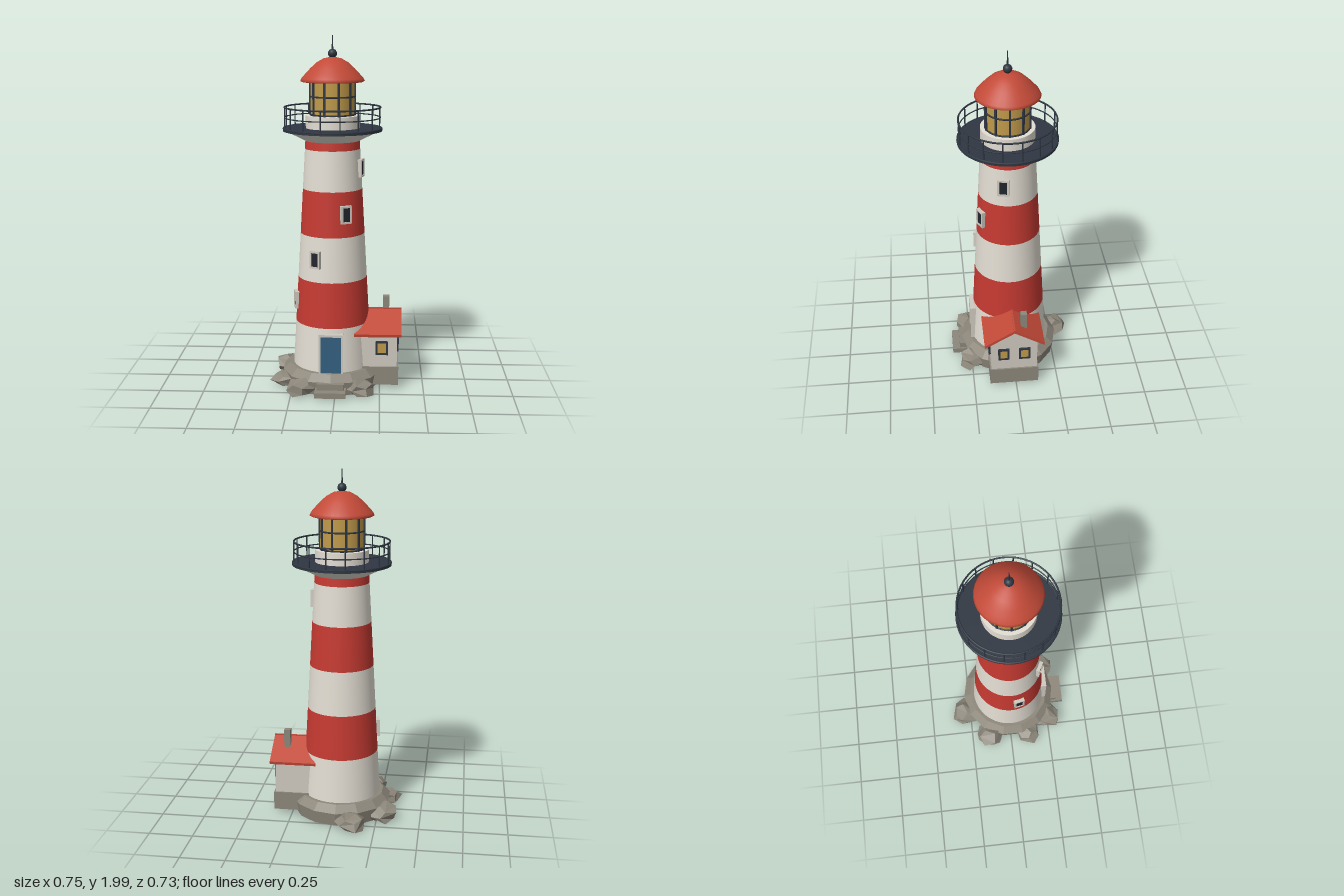
import * as THREE from 'three';

const mat = (color, extra = {}) => new THREE.MeshStandardMaterial({ color, ...extra });
const M = {
  white: mat(0xe3ded3), red: mat(0xc63a32), roof: mat(0xc24a38, { side: THREE.DoubleSide }),
  dark: mat(0x2f3742), stone: mat(0x8d877b, { flatShading: true }), plinth: mat(0x8d877b),
  wall: mat(0xcfcac0), amber: mat(0xc09a4a), blue: mat(0x346080), pane: mat(0x20262e),
};

function add(parent, name, geometry, material, x = 0, y = 0, z = 0) {
  const mesh = new THREE.Mesh(geometry, material);
  mesh.name = name;
  mesh.position.set(x, y, z);
  parent.add(mesh);
  return mesh;
}
// box given by its min and max corners
function box(parent, name, material, x0, x1, y0, y1, z0, z1) {
  return add(parent, name, new THREE.BoxGeometry(x1 - x0, y1 - y0, z1 - z0), material,
    (x0 + x1) / 2, (y0 + y1) / 2, (z0 + z1) / 2);
}
// truncated cone from y0 to y1
function cone(parent, name, material, r0, r1, y0, y1, sides = 48, open = false) {
  return add(parent, name, new THREE.CylinderGeometry(r1, r0, y1 - y0, sides, 1, open), material, 0, (y0 + y1) / 2, 0);
}
function ring(parent, name, r, tube, y, material = M.dark) {
  const mesh = add(parent, name, new THREE.TorusGeometry(r, tube, 6, 48), material, 0, y, 0);
  mesh.rotation.x = Math.PI / 2;
}
function group(parent, name) {
  const g = new THREE.Group();
  g.name = name;
  parent.add(g);
  return g;
}

const towerRadius = (y) => 0.226 - (y - 0.12) * 0.0562;

// framed opening facing +z, centred on its origin
function framedWindow(parent, name, w, h, frame, pane, depth = 0.03) {
  const g = group(parent, name);
  const t = 0.011;
  for (const s of [-1, 1]) {
    add(g, 'frameSide', new THREE.BoxGeometry(t, h, depth), frame, s * (w - t) / 2, 0, 0);
    add(g, 'frameBar', new THREE.BoxGeometry(w - 2 * t, t, depth), frame, 0, s * (h - t) / 2, 0);
  }
  add(g, 'pane', new THREE.BoxGeometry(w - 2 * t, h - 2 * t, depth * 0.7), pane);
  return g;
}

function buildTower(root) {
  const g = group(root, 'tower');
  const levels = [0.11, 0.38, 0.64, 0.895, 1.15, 1.375, 1.425];
  for (let i = 0; i < levels.length - 1; i++) {
    cone(g, 'towerBand', i % 2 ? M.red : M.white, towerRadius(levels[i]), towerRadius(levels[i + 1]),
      levels[i], levels[i + 1], 48, true);
  }
  // windows spiralling up the tower
  [[-78, 0.505], [-27, 0.77], [27, 1.025], [76, 1.27]].forEach(([deg, y]) => {
    const a = deg * Math.PI / 180, r = towerRadius(y) + 0.002;
    const w = framedWindow(g, 'towerWindow', 0.064, 0.1, M.wall, M.pane);
    w.position.set(Math.sin(a) * r, y, Math.cos(a) * r);
    w.rotation.y = a;
  });
  // door with surround
  const d = group(g, 'door');
  box(d, 'doorLeaf', M.blue, -0.058, 0.058, 0.12, 0.338, 0.19, 0.228);
  for (const s of [-1, 1]) add(d, 'doorJamb', new THREE.BoxGeometry(0.012, 0.23, 0.045), M.wall, s * 0.063, 0.235, 0.213);
  box(d, 'doorLintel', M.wall, -0.069, 0.069, 0.338, 0.352, 0.19, 0.2355);
}

function buildGallery(root) {
  const g = group(root, 'gallery');
  cone(g, 'galleryFlare', M.white, 0.153, 0.262, 1.42, 1.475);
  cone(g, 'galleryDeck', M.dark, 0.278, 0.278, 1.474, 1.49);
  ring(g, 'deckRim', 0.274, 0.006, 1.487);
  ring(g, 'topRail', 0.268, 0.005, 1.605);
  ring(g, 'middleRail', 0.268, 0.0035, 1.548);
  const posts = 16;
  for (let i = 0; i < posts; i++) {
    const a = (i + 0.5) / posts * Math.PI * 2;
    add(g, 'railPost', new THREE.CylinderGeometry(0.004, 0.004, 0.12, 6), M.dark,
      Math.sin(a) * 0.268, 1.545, Math.cos(a) * 0.268);
  }
}

function buildLantern(root) {
  const g = group(root, 'lantern');
  cone(g, 'lanternBase', M.white, 0.15, 0.15, 1.49, 1.56);
  cone(g, 'lanternGlass', M.amber, 0.122, 0.122, 1.56, 1.755, 24);
  for (const y of [1.565, 1.665, 1.748]) ring(g, 'glazingRing', 0.124, 0.005, y);
  const bars = 10;
  for (let i = 0; i < bars; i++) {
    const a = (i + 0.5) / bars * Math.PI * 2;
    const bar = add(g, 'glazingBar', new THREE.BoxGeometry(0.011, 0.19, 0.011), M.dark,
      Math.sin(a) * 0.124, 1.655, Math.cos(a) * 0.124);
    bar.rotation.y = a;
  }
  // domed roof with closed underside
  const profile = [[0, 1.75], [0.17, 1.745], [0.179, 1.75], [0.172, 1.765], [0.15, 1.79], [0.122, 1.82],
    [0.088, 1.851], [0.05, 1.873], [0, 1.884]].map(([r, y]) => new THREE.Vector2(r, y));
  add(g, 'domeRoof', new THREE.LatheGeometry(profile, 32), M.roof);
  add(g, 'finialBall', new THREE.SphereGeometry(0.025, 20, 14), M.dark, 0, 1.9, 0);
  cone(g, 'finialSpike', M.dark, 0.005, 0.003, 1.9, 2, 8);
}

// extrude a (z, y) outline along x
function prismX(parent, name, points, material, x0, x1) {
  const shape = new THREE.Shape(points.map(([z, y]) => new THREE.Vector2(z, y)));
  const mesh = add(parent, name, new THREE.ExtrudeGeometry(shape, { depth: x1 - x0, bevelEnabled: false }), material, x0, 0, 0);
  mesh.rotation.y = Math.PI / 2;
}

function buildHouse(root) {
  const g = group(root, 'keepersHouse');
  box(g, 'housePlinth', M.plinth, 0.13, 0.382, 0.028, 0.135, -0.143, 0.143);
  prismX(g, 'houseWalls', [[-0.135, 0.13], [0.135, 0.13], [0.135, 0.345], [0, 0.425], [-0.135, 0.345]], M.wall, 0.13, 0.373);
  prismX(g, 'houseRoof', [[0, 0.442], [-0.175, 0.338], [-0.172, 0.322], [0, 0.424], [0.172, 0.322], [0.175, 0.338]],
    M.roof, 0.13, 0.398);
  box(g, 'ridgeCap', M.roof, 0.17, 0.398, 0.434, 0.445, -0.005, 0.005);
  box(g, 'chimney', M.plinth, 0.293, 0.329, 0.38, 0.5, -0.078, -0.042);
  for (const z of [-0.06, 0.062]) {
    const w = framedWindow(g, 'gableWindow', 0.066, 0.078, M.dark, M.amber, 0.02);
    w.position.set(0.374, 0.25, z);
    w.rotation.y = Math.PI / 2;
  }
  framedWindow(g, 'sideWindow', 0.07, 0.08, M.dark, M.amber, 0.02).position.set(0.287, 0.247, 0.136);
}

// boulder with gently displaced corners and a flat foot
function rock(parent, x, z, rx, ry, rz, turn, seed) {
  const geo = new THREE.DodecahedronGeometry(1, 0);
  const p = geo.attributes.position;
  for (let i = 0; i < p.count; i++) {
    const a = p.getX(i), b = p.getY(i), c = p.getZ(i);
    const k = 1 + 0.16 * Math.sin(a * 3.1 + b * 4.7 + c * 5.3 + seed * 2.3);
    p.setXYZ(i, a * k * rx, Math.max(b * k * ry, -0.035), c * k * rz);
  }
  geo.computeVertexNormals();
  add(parent, 'boulder', geo, M.stone, x, 0.043, z).rotation.y = turn;
}

function buildBase(root) {
  const g = group(root, 'rockBase');
  cone(g, 'baseLower', M.stone, 0.277, 0.291, 0.008, 0.085, 14);
  cone(g, 'baseUpper', M.stone, 0.291, 0.25, 0.085, 0.125, 14);
  box(g, 'lowerStep', M.plinth, -0.087, 0.087, 0.022, 0.053, 0.2, 0.35);
  box(g, 'upperStep', M.plinth, -0.076, 0.076, 0.053, 0.088, 0.2, 0.307);
  rock(g, -0.09, -0.292, 0.086, 0.06, 0.086, 0.4, 1);
  rock(g, -0.262, -0.15, 0.09, 0.06, 0.083, 1.1, 2);
  rock(g, -0.272, 0.102, 0.078, 0.055, 0.076, 0.7, 3);
  rock(g, -0.17, 0.244, 0.08, 0.055, 0.076, 0.2, 4);
  rock(g, 0.168, 0.24, 0.084, 0.055, 0.076, 0.5, 5);
}

export function createModel() {
  const model = new THREE.Group();
  model.name = 'lighthouse';
  const root = group(model, 'lighthouseParts');
  root.position.set(-0.025, 0, 0.012);
  buildBase(root);
  buildTower(root);
  buildGallery(root);
  buildLantern(root);
  buildHouse(root);
  return model;
}
